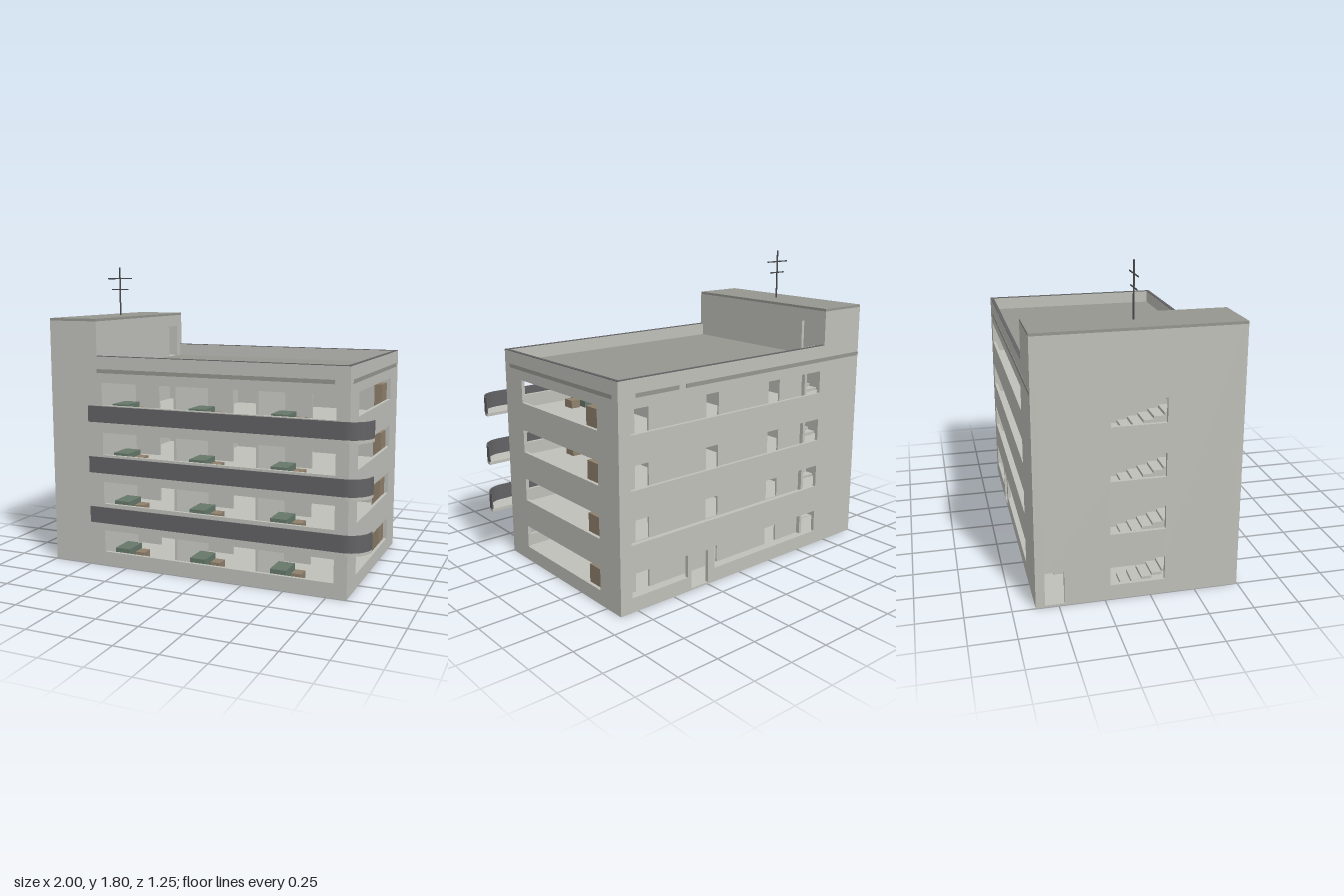
import * as THREE from 'three';

const flat = (name, hex) => {
  const m = new THREE.MeshStandardMaterial({ color: hex });
  m.name = name;
  return m;
};

export function createModel() {
  const building = new THREE.Group();
  building.name = 'apartmentBuilding';
  const concrete = flat('concrete', 0xc0c0ba);
  const roofing = flat('roofing', 0x979791);
  const charcoal = flat('charcoal', 0x636366);
  const brown = flat('brown', 0x8f806c);
  const soffit = flat('darkBrown', 0x6b5c4f);
  const green = flat('green', 0x66786a);
  const metal = flat('metal', 0x4a4a4c);

  const X0 = -1, X1 = 0.865, XT = -0.68, Z0 = -0.625, Z1 = 0.495;
  const T = 0.02, ROOF = 1.275, TOWER = 1.48, STOREY = 0.3;
  const levels = [0, 1, 2, 3].map((i) => i * STOREY);

  const add = (name, geo, mat, parent = building) => {
    const mesh = new THREE.Mesh(geo, mat);
    mesh.name = name;
    parent.add(mesh);
    return mesh;
  };
  // Box given by its extents
  const box = (name, mat, x0, x1, y0, y1, z0, z1, parent) => {
    const m = add(name, new THREE.BoxGeometry(x1 - x0, y1 - y0, z1 - z0), mat, parent);
    m.position.set((x0 + x1) / 2, (y0 + y1) / 2, (z0 + z1) / 2);
    return m;
  };
  // Upright panel with rectangular holes [u0, u1, y0, y1]
  const panel = (outline, holes, depth) => {
    const shape = new THREE.Shape(outline.map(([u, y]) => new THREE.Vector2(u, y)));
    for (const [a, b, c, d] of holes) {
      shape.holes.push(new THREE.Path([[a, c], [a, d], [b, d], [b, c]]
        .map(([u, y]) => new THREE.Vector2(u, y))));
    }
    return new THREE.ExtrudeGeometry(shape, { depth, bevelEnabled: false });
  };
  const rect = (a, b, c, d) => [[a, c], [b, c], [b, d], [a, d]];
  const wallAcross = (name, outline, holes, z, depth = T) => {
    add(name, panel(outline, holes, depth), concrete).position.z = z;
  };
  // Wall running along z, occupying x - depth .. x
  const wallAlong = (name, outline, holes, x, depth = T) => {
    const m = add(name, panel(outline, holes, depth), concrete);
    m.rotation.y = -Math.PI / 2;
    m.position.x = x;
  };
  const bands = (a, b, list = levels) => list.map((y) => [a, b, y + 0.085, y + 0.22]);

  // Outer walls with strip windows
  const silhouette = [[X0, 0], [X1, 0], [X1, ROOF], [XT, ROOF], [XT, TOWER], [X0, TOWER]];
  wallAcross('frontWall', silhouette, bands(-0.65, 0.79), Z1 - T);
  wallAcross('backWall', silhouette, [
    ...bands(-0.65, 0.79, levels.slice(1)),
    [0.4, 0.79, 0.085, 0.22], [-0.65, 0.2, 0.085, 0.22], [0.25, 0.375, 0.012, 0.21],
  ], Z0);
  wallAlong('rightSideWall', rect(Z0 + T, Z1 - T, 0, ROOF), bands(-0.44, 0.315), X1);
  wallAlong('towerOuterWall', rect(Z0 + T, Z1 - T, 0, TOWER),
    [...bands(-0.22, 0.08), [-0.575, -0.47, 0.012, 0.2]], X0 + T);
  wallAlong('towerInnerWall', rect(Z0 + T, Z1 - T, 0, TOWER),
    [...levels.map((y) => [-0.58, -0.48, y + 0.012, y + 0.21]), [-0.555, -0.44, 1.202, 1.405]], XT);

  // Floors with a light top and dark soffit
  box('groundFloorBase', soffit, X0 + T, X1 - T, 0.003, 0.008, Z0 + T, Z1 - T);
  box('groundFloorTop', concrete, X0 + T, X1 - T, 0.008, 0.012, Z0 + T, Z1 - T);
  for (const y of levels.slice(1)) {
    box('floorSoffit', soffit, XT, X1 - T, y - 0.015, y, Z0 + T, Z1 - T);
    box('floorTop', concrete, XT, X1 - T, y, y + 0.008, Z0 + T, Z1 - T);
  }
  box('topCeiling', soffit, XT, X1 - T, 1.17, 1.185, Z0 + T, Z1 - T);
  box('mainRoof', roofing, XT, X1 - T, 1.185, 1.2, Z0 + T, Z1 - T);
  box('towerRoof', roofing, X0, XT, TOWER, 1.495, Z0, Z1);

  // Parapet coping
  box('frontCoping', charcoal, XT, X1, ROOF, ROOF + 0.003, Z1 - T, Z1);
  box('backCoping', charcoal, XT, X1, ROOF, ROOF + 0.003, Z0, Z0 + T);
  box('sideCoping', charcoal, X1 - T, X1, ROOF, ROOF + 0.003, Z0 + T, Z1 - T);

  // Thin grey strips under the parapet
  const P = 0.002;
  box('frontStrip', roofing, XT, 0.78, 1.177, 1.2, Z1, Z1 + P);
  box('sideStrip', roofing, X1, X1 + P, 1.177, 1.2, -0.575, 0.44);
  box('backStripShort', roofing, 0.467, 0.755, 1.177, 1.2, Z0 - P, Z0);
  box('backStripLong', roofing, X0, 0.42, 1.177, 1.2, Z0 - P, Z0);

  // Corridor wall and flat partitions
  const doors = [-0.48, 0.025, 0.54];
  wallAcross('corridorWall', rect(XT, X1 - T, 0, 1.17),
    levels.flatMap((y) => doors.map((x) => [x, x + 0.095, y + 0.012, y + 0.225])), -0.455, 0.012);
  for (const x of [-0.17, 0.34]) {
    wallAlong('flatPartition', rect(-0.443, Z1 - T, 0, 1.17), [], x, 0.015);
  }

  // Rooms: short dividing wall, sofa and table in every flat, cupboard by the side window
  for (const y of levels) {
    const f = y + 0.008;
    for (const x of [-0.68, -0.17, 0.34]) {
      const room = new THREE.Group();
      room.name = 'flatInterior';
      building.add(room);
      box('roomDivider', concrete, x, x + 0.17, y, y + 0.285, 0.025, 0.037, room);
      box('sofa', green, x + 0.04, x + 0.14, f, y + 0.08, 0.24, 0.39, room);
      box('table', brown, x + 0.155, x + 0.215, f, y + 0.055, 0.27, 0.345, room);
    }
    box('cupboard', brown, 0.795, X1 - T - 0.002, f, y + 0.19, -0.43, -0.31);
  }

  // Two-flight stairs inside the tower
  const STEPS = 9, RISE = STOREY / 2 / STEPS, RUN = 0.5 / STEPS;
  for (const y of levels) {
    const stairs = new THREE.Group();
    stairs.name = 'stairs';
    building.add(stairs);
    for (let i = 0; i < STEPS; i++) {
      const za = -0.32 + i * RUN, ya = y + (i + 1) * RISE;
      box('lowerStep', concrete, -0.975, -0.85, ya - 0.016, ya, za, za + RUN, stairs);
      const zb = 0.18 - i * RUN, yb = ya + STOREY / 2;
      box('upperStep', concrete, -0.83, -0.705, yb - 0.016, yb, zb - RUN, zb, stairs);
    }
    box('halfLanding', concrete, X0 + T, XT - T, y + 0.134, y + 0.15, 0.18, Z1 - T, stairs);
    box('landing', concrete, X0 + T, XT - T, y + 0.284, y + STOREY, Z0 + T, -0.32, stairs);
  }

  // Balconies: slab and rail share one rounded plan, laid flat
  const BX = -0.665, R = 0.13, CX = 0.87;
  const edge = (r) => {
    const pts = [new THREE.Vector2(BX, -(Z1 + r))];
    for (let i = 0; i <= 16; i++) {
      const a = -Math.PI / 2 + (i / 16) * Math.PI / 2;
      pts.push(new THREE.Vector2(CX + r * Math.cos(a), -Z1 + r * Math.sin(a)));
    }
    return pts;
  };
  const layFlat = (pts, height) => new THREE.ExtrudeGeometry(new THREE.Shape(pts),
    { depth: height, bevelEnabled: false }).rotateX(-Math.PI / 2);
  const slabGeo = layFlat([...edge(R - 0.001), new THREE.Vector2(BX, -Z1)], 0.018);
  const railGeo = layFlat([...edge(R), ...edge(R - 0.006).reverse()], 0.095);
  for (const y of levels.slice(1)) {
    const balcony = new THREE.Group();
    balcony.name = 'balcony';
    balcony.position.y = y - 0.012;
    building.add(balcony);
    add('balconySlab', slabGeo, concrete, balcony);
    add('balconyRail', railGeo, charcoal, balcony).position.y = 0.0175;
  }

  // Roof aerial
  const aerial = new THREE.Group();
  aerial.name = 'aerial';
  aerial.position.set(-0.84, 0, -0.065);
  building.add(aerial);
  add('mast', new THREE.CylinderGeometry(0.005, 0.005, 0.305, 8), metal, aerial).position.y = 1.6475;
  for (const [y, len] of [[1.73, 0.175], [1.66, 0.12]]) {
    const bar = add('crossBar', new THREE.CylinderGeometry(0.004, 0.004, len, 8), metal, aerial);
    bar.rotation.z = Math.PI / 2;
    bar.position.y = y;
  }
  return building;
}
